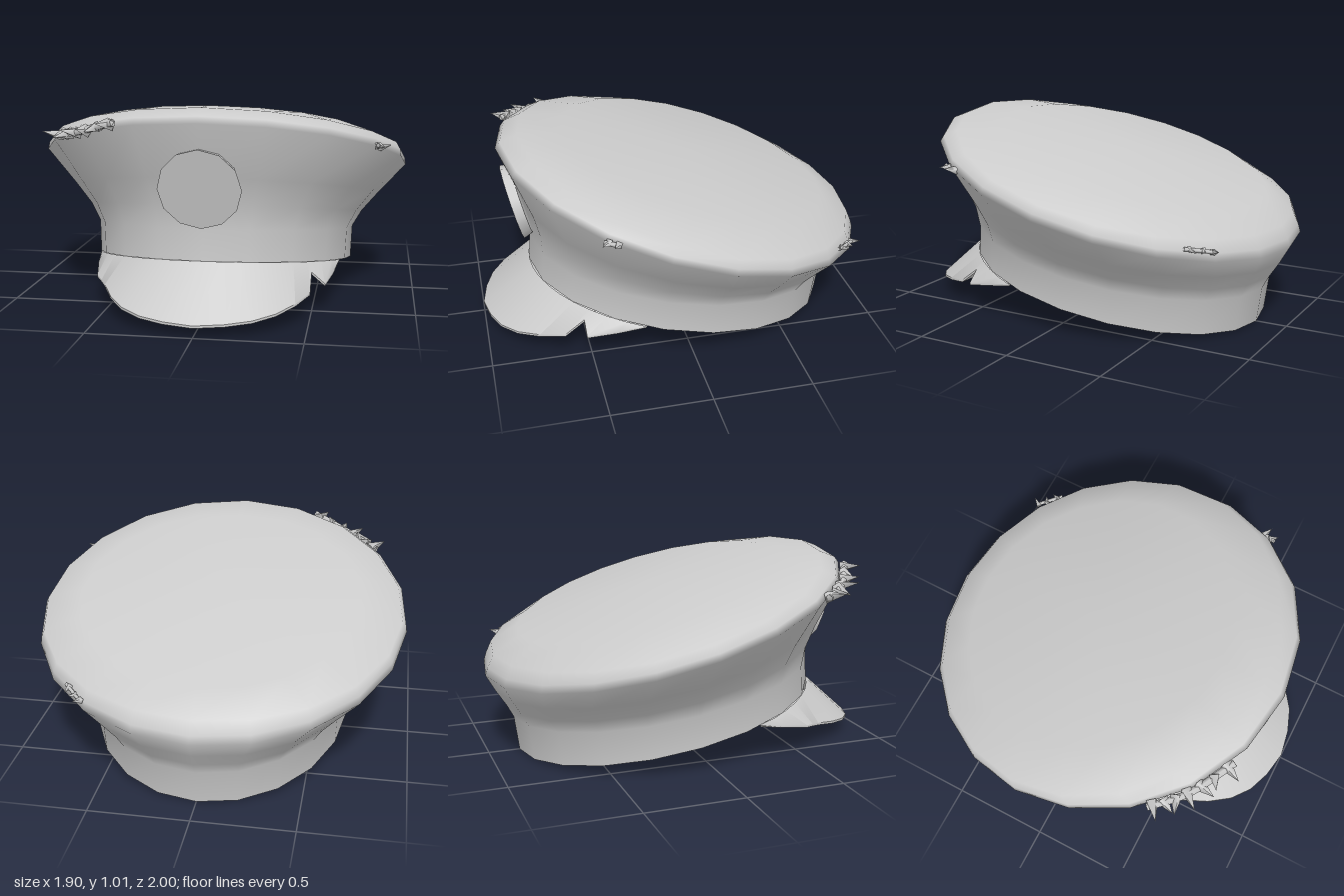
import * as THREE from 'three';
import { toCreasedNormals } from 'three/addons/utils/BufferGeometryUtils.js';

const grey = new THREE.MeshStandardMaterial({ color: 0xcccccc, side: THREE.DoubleSide });
const V = (x, y, z) => new THREE.Vector3(x, y, z);

// Skin a surface over rows of points; closed rows wrap around, apex closes the last row
function loft(rows, closed, apex) {
  const n = rows[0].length, pts = rows.flat(), index = [];
  const cols = closed ? n : n - 1;
  for (let i = 0; i < rows.length - 1; i++) {
    for (let j = 0; j < cols; j++) {
      const k = (j + 1) % n, a = i * n + j, b = i * n + k, c = b + n, d = a + n;
      index.push(a, b, c, a, c, d);
    }
  }
  if (apex) {
    const base = (rows.length - 1) * n;
    for (let j = 0; j < cols; j++) index.push(base + j, base + (j + 1) % n, pts.length);
    pts.push(apex);
  }
  const g = new THREE.BufferGeometry().setFromPoints(pts);
  g.setIndex(index);
  g.computeVertexNormals();
  return g;
}

// Tilted oval: front z/y, back z/y, half width, lift of the sides
function ovalPoint([fz, fy, bz, by, w, lift], angle) {
  const a = angle + 0.05 * Math.sin(angle); // widest slightly behind the middle
  const c = Math.cos(a), s = Math.sin(a);
  return V(w * s, (fy + by) / 2 + (fy - by) / 2 * c + lift * s * s, (fz + bz) / 2 + (fz - bz) / 2 * c);
}

const ovalRow = (ring, direction = 1, sides = 20) =>
  Array.from({ length: sides }, (_, j) => ovalPoint(ring, direction * j / sides * Math.PI * 2));

const rim = [0.74, 0.29, -0.84, 0, 0.67, 0];
const crownRings = [
  rim,
  [0.73, 0.44, -0.865, 0.18, 0.677, 0],
  [0.74, 0.56, -0.9, 0.245, 0.725, -0.01],
  [0.772, 0.69, -0.952, 0.325, 0.81, -0.015],
  [0.87, 0.95, -1.0, 0.41, 0.95, -0.025],
  [0.845, 0.98, -0.987, 0.45, 0.945, -0.025],
  [0.76, 1.012, -0.957, 0.515, 0.925, -0.04],
  [0.53, 1.0, -0.82, 0.605, 0.72, 0.0],
];

const makeCrown = () => loft(crownRings.map(r => ovalRow(r)), true, V(0, 0.845, -0.13));

// Lining: a shallow bowl rising inside the cap from the rim
function makeLining() {
  const depth = 0.3, middle = V(0, 0.145, -0.05);
  const rows = [1, 0.85, 0.65, 0.35].map(s => ovalRow(rim, -1).map(p => {
    p.lerp(middle, 1 - s);
    p.y += depth * (1 - s * s);
    return p;
  }));
  return loft(rows, true, middle.add(V(0, depth, 0)));
}

// Peak: top sheet from the rim to the outer edge, then a vaulted underside
function makeVisor() {
  const edge = [[0, 1.0], [0.14, 0.975], [0.26, 0.93], [0.36, 0.855], [0.44, 0.75],
    [0.5, 0.63], [0.53, 0.58], [0.565, 0.53], [0.6, 0.38], [0.62, 0.24]];
  const last = edge.length - 1, thick = 0.012, spread = 1.149;
  const under = [], lower = [], upper = [], inner = [];
  const vault = V(0, 0.38, 0.37), corner = ovalPoint(rim, spread);
  for (let j = -last; j <= last; j++) {
    const side = Math.sign(j), k = Math.abs(j), [x, z] = edge[k];
    const root = ovalPoint(rim, j / last * spread);
    const tip = V(side * x, 0.058 + 0.19 * (1 - z), z);
    if (j === 6) tip.lerp(root, 0.6); // torn notch on one side
    upper.push(tip);
    lower.push(V(tip.x, tip.y - thick, tip.z));
    inner.push(root);
    under.push(vault.clone().lerp(V(side * corner.x, corner.y, corner.z), k / last));
  }
  return toCreasedNormals(loft([under, lower, upper, inner], false).toNonIndexed(), 0.7);
}

// Frayed tear: a ragged strip along the crown edge with flat spikes pointing outward
function makeTear(name, points, spikes, size) {
  const tear = new THREE.Group();
  tear.name = name;
  const path = new THREE.CatmullRomCurve3(points);
  const strip = new THREE.Mesh(new THREE.TubeGeometry(path, 8, size * 0.22, 5), grey);
  strip.name = 'tearStrip';
  tear.add(strip);
  for (let i = 0; i < spikes; i++) {
    const t = (i + 0.5) / spikes, p = path.getPoint(t), dir = path.getTangent(t);
    const length = size * (0.9 + 0.4 * Math.abs(Math.sin(i * 2.3 + 1)));
    const out = V(p.x, 0, p.z).normalize().addScaledVector(dir, 0.5 * Math.sin(i * 2.1));
    out.y += 0.25 * Math.cos(i * 1.9);
    out.normalize();
    const spike = new THREE.Mesh(new THREE.ConeGeometry(size * 0.4, length, 4), grey);
    spike.name = 'tearSpike';
    spike.position.copy(p).addScaledVector(out, length * 0.3);
    spike.quaternion.setFromUnitVectors(V(0, 1, 0), out);
    tear.add(spike);
  }
  return tear;
}

export function createModel() {
  const cap = new THREE.Group();
  cap.name = 'peakedCap';
  const add = (name, geometry) => {
    const mesh = new THREE.Mesh(geometry, grey);
    mesh.name = name;
    cap.add(mesh);
    return mesh;
  };

  add('crown', makeCrown());
  add('lining', makeLining());
  add('visor', makeVisor());

  // Plain round badge leaning forward with the crown, narrower at its back
  const tilt = Math.atan(0.095 / 0.38), depth = 0.05;
  const badge = add('badge', new THREE.CylinderGeometry(0.197, 0.182, depth, 12));
  badge.rotation.x = Math.PI / 2 + tilt;
  badge.position.set(0, 0.64 + Math.sin(tilt) * depth / 2, 0.807 - Math.cos(tilt) * depth / 2);

  // Frayed spots along the crown edge
  cap.add(makeTear('largeTear', [V(-0.76, 0.845, 0.52), V(-0.62, 0.875, 0.665), V(-0.4, 0.94, 0.8)], 7, 0.085));
  cap.add(makeTear('sideTear', [V(0.82, 0.8, 0.4), V(0.8, 0.815, 0.47)], 2, 0.055));
  cap.add(makeTear('backTear', [V(0.55, 0.5, -0.84), V(0.65, 0.525, -0.73)], 3, 0.045));
  return cap;
}
